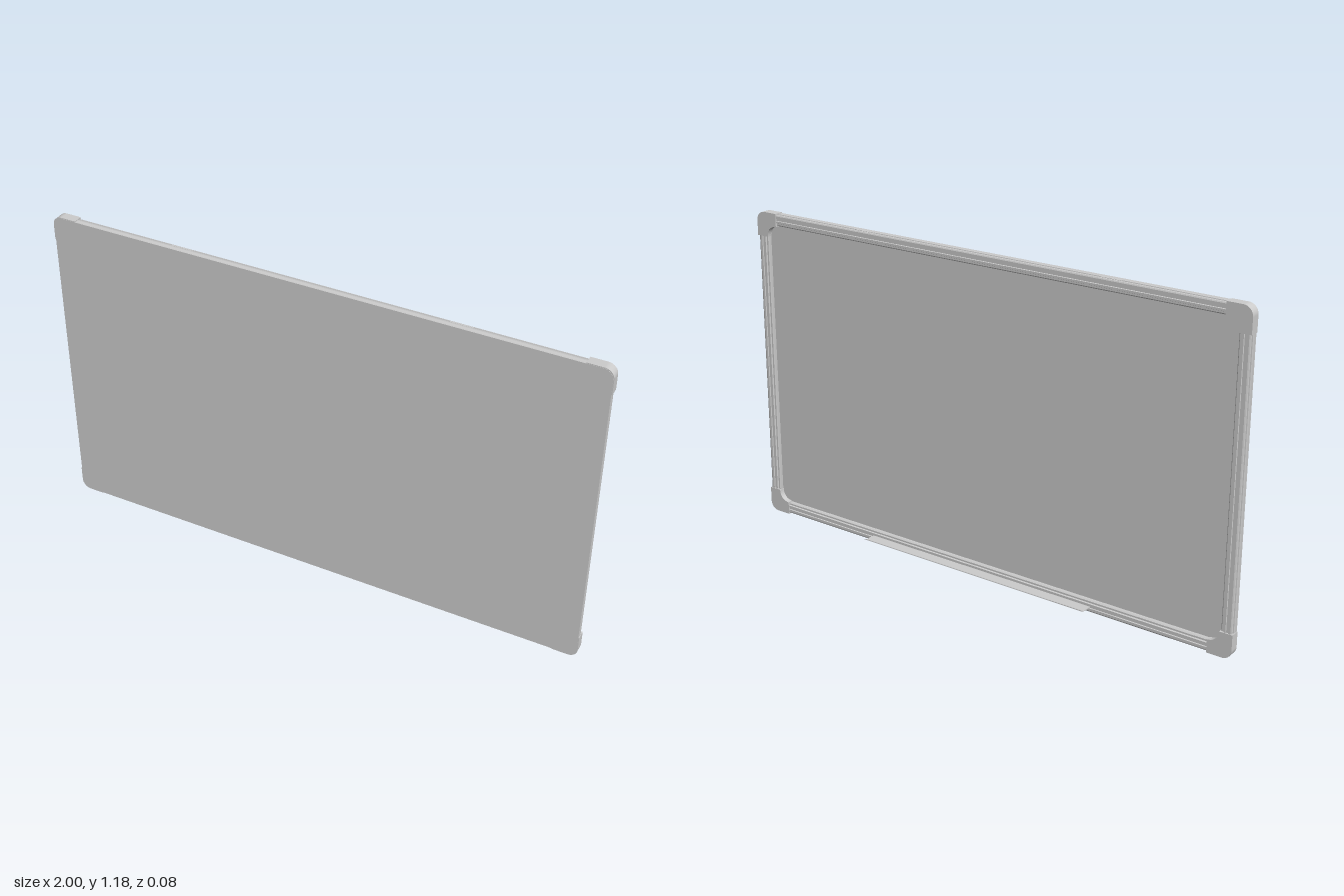
import * as THREE from 'three';

const W = 1, H = 0.59;          // half width, half height
const material = new THREE.MeshStandardMaterial({ color: 0xcccccc });
const thinMaterial = new THREE.MeshStandardMaterial({ color: 0xcccccc, side: THREE.DoubleSide });

function add(parent, name, geometry, mat = material) {
  const mesh = new THREE.Mesh(geometry, mat);
  mesh.name = name;
  parent.add(mesh);
  return mesh;
}

function roundedRect(w, h, r) {
  const s = new THREE.Shape();
  s.absarc(w - r, h - r, r, 0, Math.PI / 2);
  s.absarc(-w + r, h - r, r, Math.PI / 2, Math.PI);
  s.absarc(-w + r, -h + r, r, Math.PI, Math.PI * 1.5);
  s.absarc(w - r, -h + r, r, Math.PI * 1.5, Math.PI * 2);
  return s;
}

// Extrudes a (depth z, height y) outline along x, centred
function extrudeAlongX(points, length) {
  const shape = new THREE.Shape(points.map(([z, y]) => new THREE.Vector2(-z, y)));
  return new THREE.ExtrudeGeometry(shape, { depth: length, bevelEnabled: false })
    .translate(0, 0, -length / 2).rotateY(Math.PI / 2);
}

// Grooved aluminium section: z, distance inward from the outer edge
const railProfile = [
  [0.038, 0.006], [0.034, 0.003], [0.026, 0.002], [0.019, 0.003],
  [0.018, 0.007], [0.014, 0.007], [0.013, 0.004], [0.009, 0.005],
  [0.007, 0.009], [0.007, 0.018], [0.011, 0.019], [0.011, 0.026],
  [0.007, 0.027], [0.007, 0.034], [0.012, 0.036], [0.012, 0.042],
  [0.016, 0.046], [0.03, 0.046], [0.038, 0.046],
];

// Rounded L-shaped cap, outer corner at the origin
function cornerGeometry() {
  const r = 0.034, len = 0.09, width = 0.05;
  const s = new THREE.Shape();
  s.moveTo(r, 0);
  s.lineTo(len, 0);
  s.lineTo(len, width - 0.002);
  s.quadraticCurveTo(width, width, width - 0.002, len);
  s.lineTo(0, len);
  s.lineTo(0, r);
  s.absarc(r, r, r, Math.PI, Math.PI * 1.5);
  return new THREE.ExtrudeGeometry(s, { depth: 0.0346, bevelEnabled: false, curveSegments: 10 })
    .translate(0, 0, 0.0047);
}

export function createModel() {
  const group = new THREE.Group();
  group.name = 'whiteboard';
  const board = new THREE.Group();
  board.name = 'board';
  board.position.y = H;
  group.add(board);

  // Writing surface
  add(board, 'panel', new THREE.ExtrudeGeometry(roundedRect(W - 0.003, H - 0.003, 0.034),
    { depth: 0.015, bevelEnabled: false, curveSegments: 10 }).translate(0, 0, 0.025));

  // Four rails and four corner caps, turned round the centre
  const sides = ['bottom', 'left', 'top', 'right'];
  const corners = [[-1, -1], [1, -1], [1, 1], [-1, 1]];
  sides.forEach((side, i) => {
    const [along, out] = i % 2 ? [H, W] : [W, H];
    const rail = add(board, side + 'Rail',
      extrudeAlongX(railProfile, 2 * along - 0.17).translate(0, -out, 0));
    rail.rotation.z = i * Math.PI / 2;

    const cap = add(board, 'cornerCap' + (i + 1), cornerGeometry());
    cap.position.set(corners[i][0] * W, corners[i][1] * H, 0);
    cap.rotation.z = i * Math.PI / 2;
  });

  // Small hanging clips seated in the top rail
  for (const s of [-1, 1]) {
    const clip = add(board, 'hangingClip', new THREE.BoxGeometry(0.08, 0.006, 0.005));
    clip.position.set(s * 0.5, H - 0.006, 0.016);
  }

  // Pen tray: thin shelf with an upturned lip
  const tray = add(group, 'penTray', extrudeAlongX([
    [0.012, 0.021], [-0.028, 0.021], [-0.035, 0.023], [-0.04, 0.026],
    [-0.04, 0.028], [-0.034, 0.025], [-0.028, 0.023], [0.012, 0.023],
  ], 0.952), thinMaterial);
  tray.position.x = 0.014;

  return group;
}
